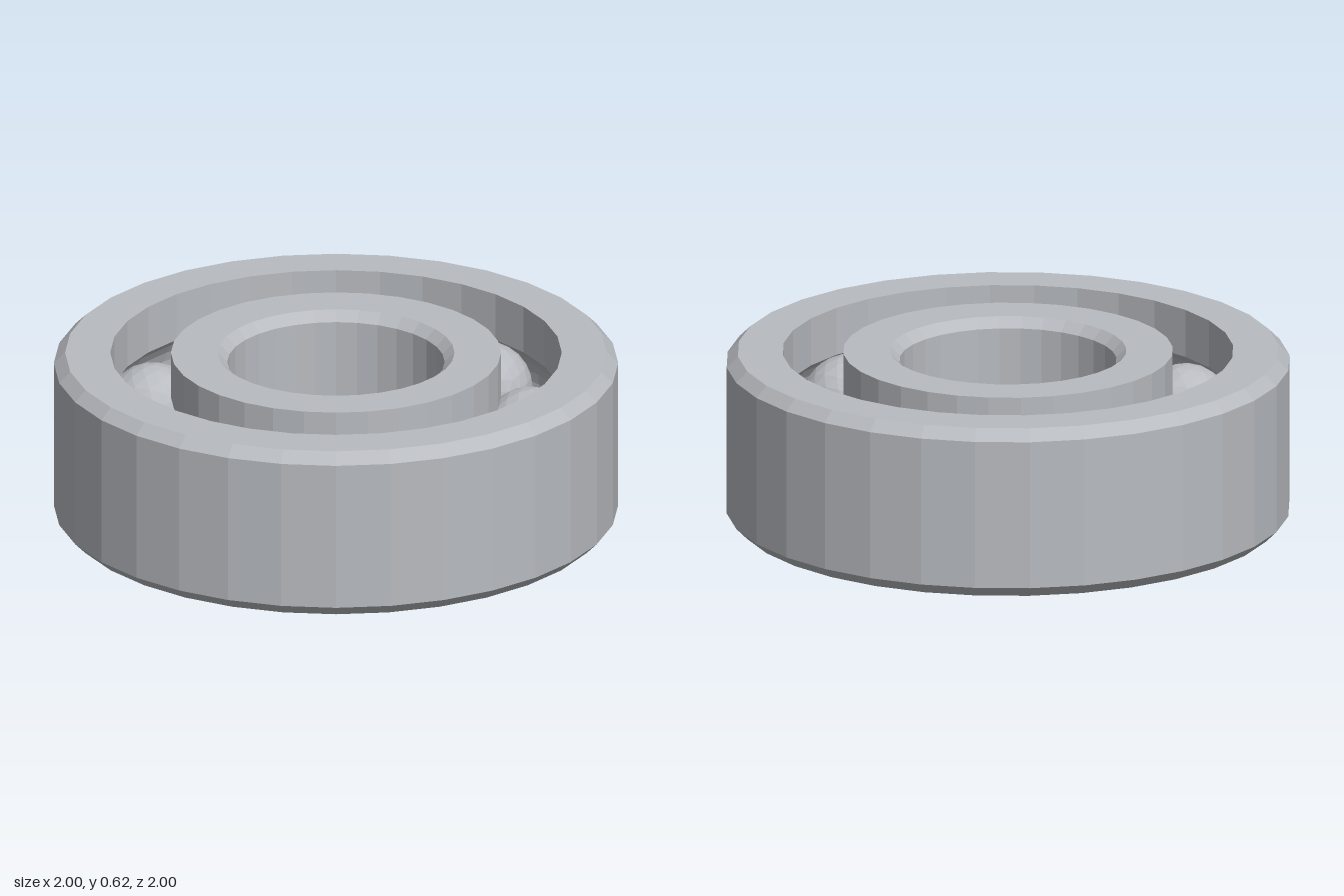
import * as THREE from 'three';

const SIDES = 32, HEIGHT = 0.62, MID = HEIGHT / 2;
const TRACK = 0.69, BALL = 0.17, GROOVE = 0.175, BALLS = 9;

// Separate the faces so that each gets its own flat normal
function faceted(geometry) {
  const flat = geometry.index ? geometry.toNonIndexed() : geometry;
  flat.computeVertexNormals();
  return flat;
}

// Arc of the ball groove where it cuts a wall at radius r
function groove(r, steps = 8) {
  const side = Math.sign(r - TRACK);
  const half = Math.acos(Math.abs(r - TRACK) / GROOVE);
  const points = [];
  for (let i = 0; i <= steps; i++) {
    const a = half - (2 * half * i) / steps;
    points.push([TRACK + side * GROOVE * Math.cos(a), MID + GROOVE * Math.sin(a)]);
  }
  return points; // from top to bottom
}

function ring(name, profile, material) {
  const points = [...profile, profile[0]].map(([r, y]) => new THREE.Vector2(r, y));
  const mesh = new THREE.Mesh(faceted(new THREE.LatheGeometry(points, SIDES)), material);
  mesh.name = name;
  return mesh;
}

export function createModel() {
  const group = new THREE.Group();
  group.name = 'ballBearing';
  const steel = new THREE.MeshStandardMaterial({ color: 0xb8bbc0 });
  steel.name = 'steel';

  // Outer ring: chamfered outside, grooved inside
  group.add(ring('outerRing', [
    [0.8, 0], [0.96, 0], [1, 0.04], [1, HEIGHT - 0.04], [0.96, HEIGHT],
    [0.8, HEIGHT], ...groove(0.8),
  ], steel));

  // Inner ring: grooved outside, chamfered bore
  group.add(ring('innerRing', [
    [0.42, 0], [0.585, 0], ...groove(0.585).reverse(), [0.585, HEIGHT],
    [0.42, HEIGHT], [0.385, HEIGHT - 0.035], [0.385, 0.035],
  ], steel));

  // Balls, each with one vertex pointing up
  const ballGeometry = faceted(new THREE.IcosahedronGeometry(BALL, 3));
  ballGeometry.rotateX(-Math.atan((1 + Math.sqrt(5)) / 2));
  const balls = new THREE.Group();
  balls.name = 'balls';
  for (let i = 0; i < BALLS; i++) {
    const a = (i / BALLS) * Math.PI * 2;
    const ball = new THREE.Mesh(ballGeometry, steel);
    ball.name = 'ball';
    ball.position.set(TRACK * Math.cos(a), MID, TRACK * Math.sin(a));
    ball.rotation.y = -a;
    balls.add(ball);
  }
  group.add(balls);
  return group;
}
